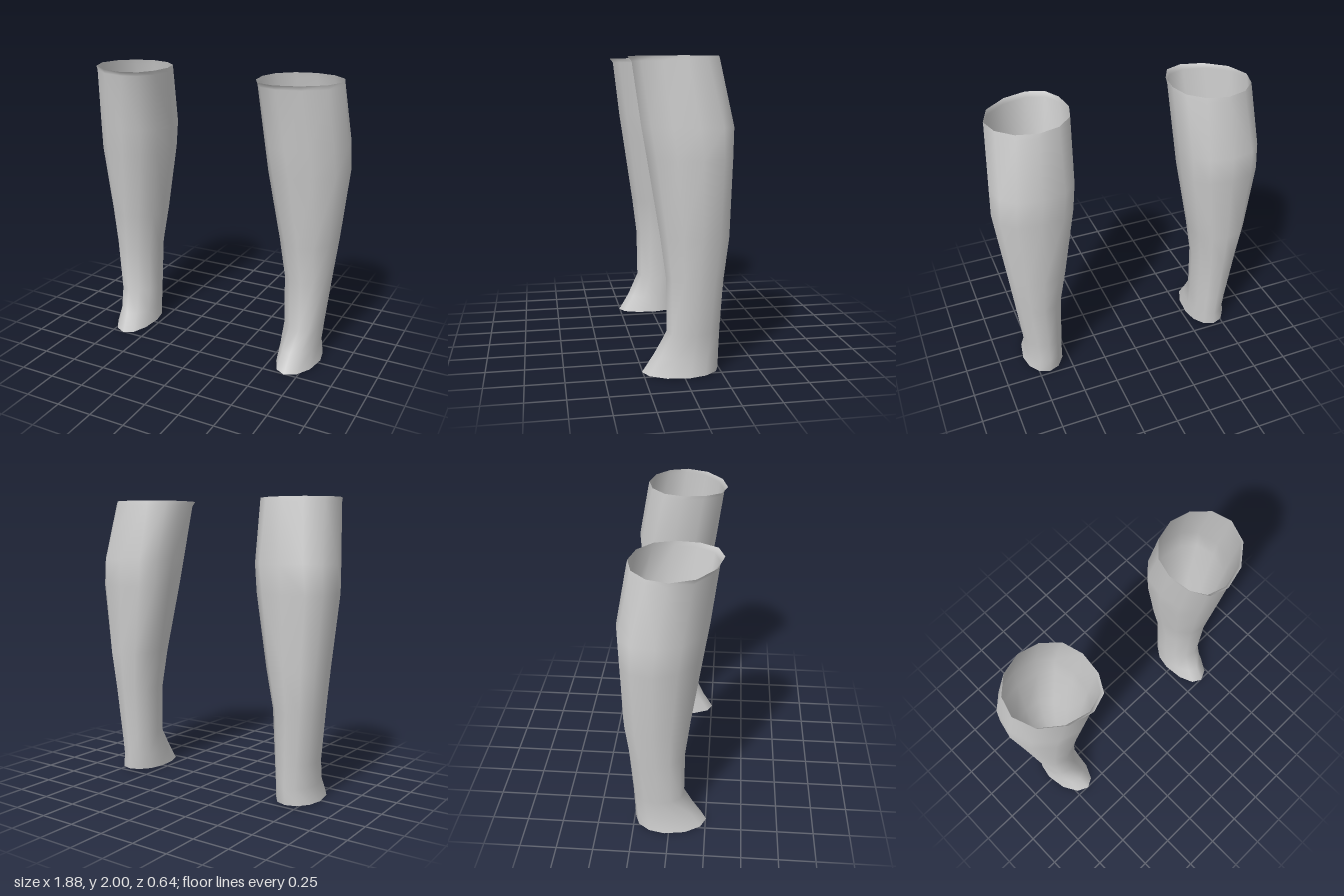
import * as THREE from 'three';

const SIDES = 12;

// Cross-sections from ankle to knee:
// [height, inner x, outer x, back z, front z, x of front tip, z of widest point, back roundness]
const RINGS = [
  [0.00, 0.53, 0.825, -0.24, 0.255, 0.66, -0.03, 1],
  [0.12, 0.535, 0.805, -0.245, 0.18, 0.67, -0.05, 1],
  [0.28, 0.535, 0.817, -0.25, 0.10, 0.70, -0.07, 0.95],
  [0.63, 0.525, 0.855, -0.27, 0.105, 0.70, -0.08, 0.9],
  [0.90, 0.483, 0.885, -0.30, 0.14, 0.68, -0.09, 0.85],
  [1.39, 0.402, 0.94, -0.31, 0.215, 0.63, -0.08, 0.8],
  [1.58, 0.385, 0.93, -0.32, 0.245, 0.61, -0.06, 0.8],
  [1.97, 0.357, 0.902, -0.247, 0.295, 0.56, 0.01, 1],
  [2.00, 0.355, 0.90, -0.24, 0.32, 0.55, 0.02, 1],
];

// Open tube lofted through the rings; side is +1 for left, -1 for right
function shinGeometry(side) {
  const positions = [];
  const indices = [];
  RINGS.forEach(([y, inner, outer, back, front, tipX, midZ, round], r) => {
    const cx = (inner + outer) / 2;
    const rx = (outer - inner) / 2;
    for (let i = 0; i < SIDES; i++) {
      const a = (i / SIDES) * Math.PI * 2;
      const c = Math.cos(a);
      const s = Math.sin(a);
      const power = s < 0 ? round : 1;
      const bulge = Math.sign(c) * Math.pow(Math.abs(c), power);
      const skew = (tipX - cx) * Math.max(0, s) ** 2;
      const z = s > 0
        ? midZ + (front - midZ) * s
        : midZ - (midZ - back) * Math.pow(-s, power);
      // the bottom hem rises slightly toward the heel
      const hem = r === 0 ? 0.006 * (1 - s) : 0;
      positions.push(side * (cx + rx * bulge + skew), y + hem, z);

      if (r < RINGS.length - 1) {
        const p = r * SIDES + i;
        const q = r * SIDES + ((i + 1) % SIDES);
        if (side > 0) indices.push(p, p + SIDES, q, q, p + SIDES, q + SIDES);
        else indices.push(p, q, p + SIDES, q, q + SIDES, p + SIDES);
      }
    }
  });
  const geometry = new THREE.BufferGeometry();
  geometry.setAttribute('position', new THREE.Float32BufferAttribute(positions, 3));
  geometry.setIndex(indices);
  geometry.computeVertexNormals();
  return geometry;
}

export function createModel() {
  const group = new THREE.Group();
  group.name = 'shinGuards';
  const grey = new THREE.MeshStandardMaterial({ color: 0xcccccc, side: THREE.DoubleSide });
  grey.name = 'light grey';

  // Mirrored pair of lower-leg sleeves
  for (const side of [1, -1]) {
    const shin = new THREE.Mesh(shinGeometry(side), grey);
    shin.name = side > 0 ? 'leftShin' : 'rightShin';
    group.add(shin);
  }
  return group;
}
